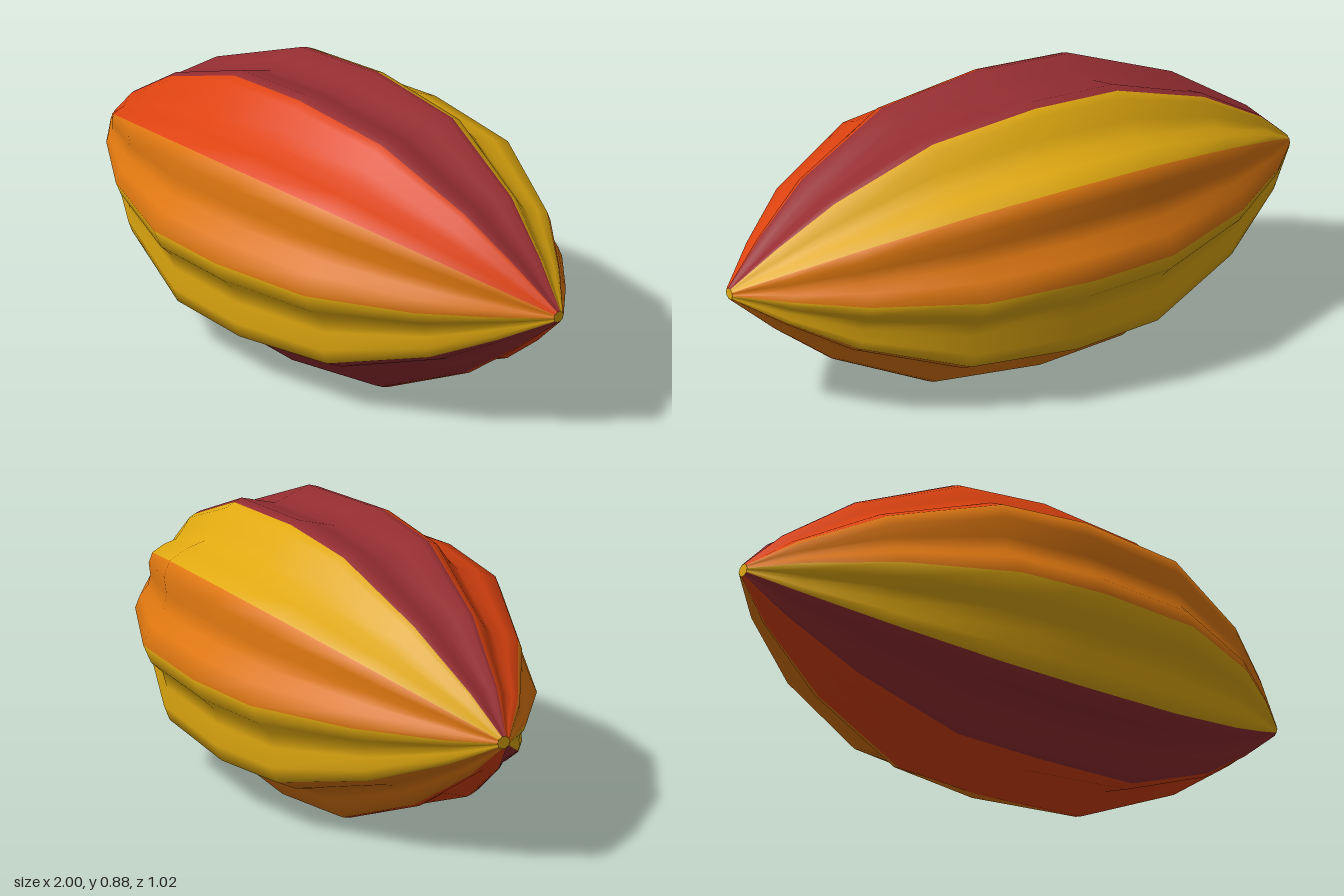
import * as THREE from 'three';

const CENTER_Y = 0.425;

// Quarter of the ridged cross-section (z, y), from the +z ridge up to the top valley
const QUARTER = [
  [0.51, 0], [0.48, 0.065], [0.435, 0.107], [0.42, 0.16], [0.43, 0.225],
  [0.408, 0.278], [0.34, 0.31], [0.27, 0.325], [0.23, 0.367], [0.19, 0.425],
  [0.16, 0.44], [0.13, 0.45], [0.065, 0.43], [0, 0.41],
];

// Rings along the pod: x position and section scale
const RINGS = [
  [-1, 0.045], [-0.88, 0.3], [-0.64, 0.655], [-0.3, 0.955], [0, 1],
  [0.36, 0.925], [0.68, 0.605], [0.86, 0.31], [1, 0.04],
];

// Ridge indices where one coloured segment meets the next
const SEAMS = [0, 5, 10, 16, 21, 26, 31, 36, 42, 47, 52];

// Mirror the quarter into a closed section
function fullSection() {
  const half = [...QUARTER, ...QUARTER.slice(0, -1).reverse().map(([z, y]) => [-z, y])];
  const lower = half.slice(1, -1).reverse().map(([z, y]) => [z, -y]);
  return [...half, ...lower];
}

function podGeometry(section) {
  const n = section.length;
  const positions = [];
  for (const [x, s] of RINGS) {
    for (const [z, y] of section) {
      // the underside is flattened where it rests on the ground
      positions.push(x, Math.max(0, CENTER_Y + y * s), z * s);
    }
  }
  const geometry = new THREE.BufferGeometry();
  const index = [];
  for (let k = 0; k < SEAMS.length - 1; k++) {
    const start = index.length;
    for (let j = SEAMS[k]; j < SEAMS[k + 1]; j++) {
      const next = (j + 1) % n;
      for (let i = 0; i < RINGS.length - 1; i++) {
        const a = i * n + j, b = (i + 1) * n + j;
        const c = i * n + next, d = (i + 1) * n + next;
        index.push(a, b, d, a, d, c);
      }
    }
    geometry.addGroup(start, index.length - start, k);
  }
  geometry.setAttribute('position', new THREE.Float32BufferAttribute(positions, 3));
  geometry.setIndex(index);
  geometry.computeVertexNormals();
  return geometry;
}

export function createModel() {
  const material = (name, color) => {
    const m = new THREE.MeshStandardMaterial({ color });
    m.name = name;
    return m;
  };
  const crimson = material('crimson', 0x962e32);
  const red = material('orangeRed', 0xde4310);
  const orange = material('orange', 0xde7710);
  const yellow = material('goldenYellow', 0xe0a910);

  const group = new THREE.Group();
  group.name = 'ridgedPod';
  const section = fullSection();

  // Ridged skin, coloured segment by segment from the front over the top
  const skin = new THREE.Mesh(podGeometry(section), [
    orange, red, crimson, yellow, orange, yellow, orange, red, crimson, yellow,
  ]);
  skin.name = 'podSkin';
  group.add(skin);

  // Small flat tips closing both ends
  for (const side of [-1, 1]) {
    const [x, s] = side < 0 ? RINGS[0] : RINGS[RINGS.length - 1];
    const shape = new THREE.Shape(section.map(([z, y]) => new THREE.Vector2(z * s, y * s)));
    const tip = new THREE.Mesh(new THREE.ShapeGeometry(shape), yellow);
    tip.rotation.y = side * Math.PI / 2;
    tip.position.set(x, CENTER_Y, 0);
    tip.name = side < 0 ? 'rightTip' : 'leftTip';
    group.add(tip);
  }
  return group;
}
